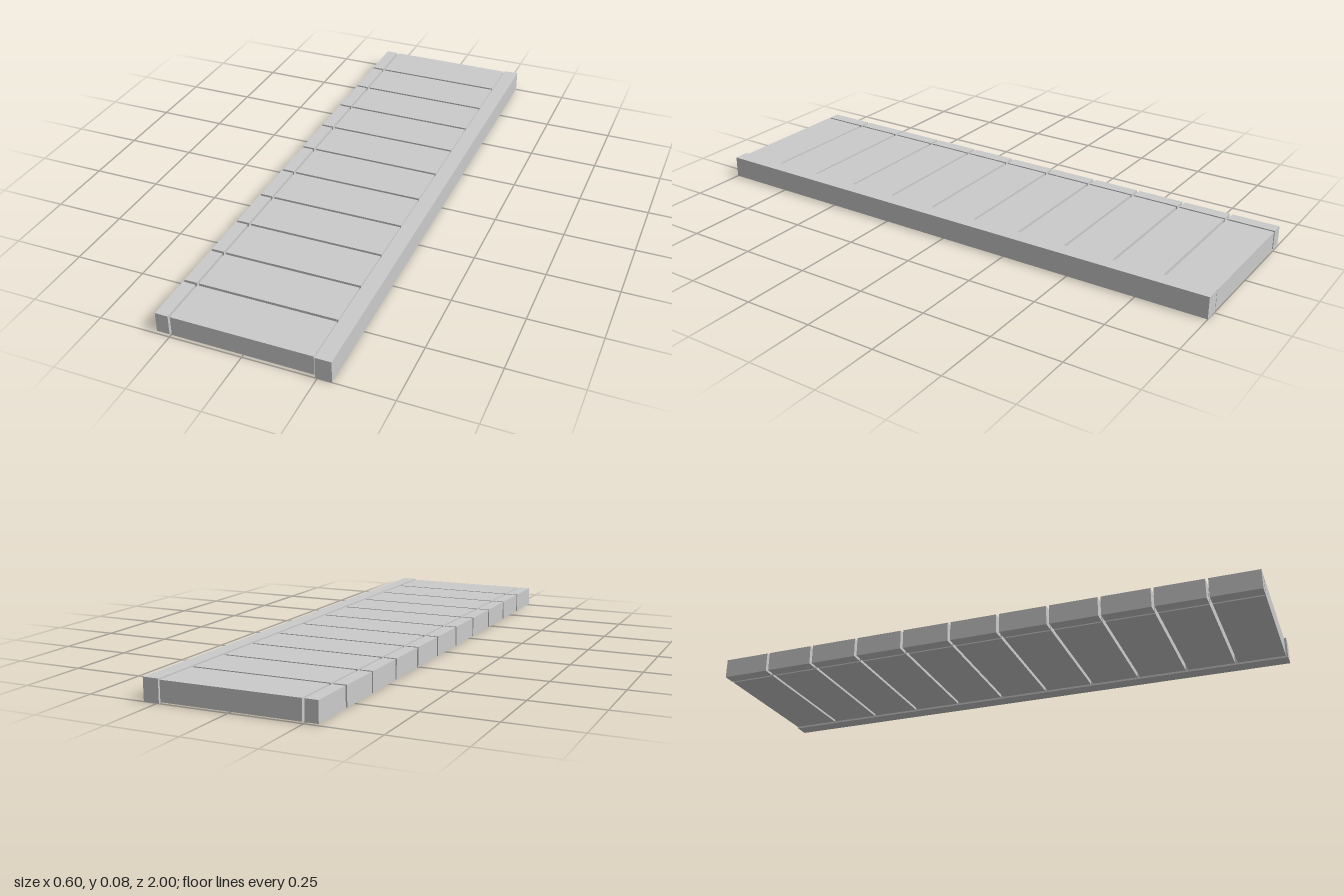
import * as THREE from 'three';

const ROWS = 11;
const PITCH = 0.182;
const GAP = 0.01;
const Z_CENTRE = -0.003;

export function createModel() {
  const group = new THREE.Group();
  group.name = 'pavement';
  const material = new THREE.MeshStandardMaterial({ color: 0xcccccc, flatShading: true });

  // Box given by its x and y limits, its length and its centre along z
  function block(name, x0, x1, y0, y1, length, z) {
    const mesh = new THREE.Mesh(new THREE.BoxGeometry(x1 - x0, y1 - y0, length), material);
    mesh.position.set((x0 + x1) / 2, (y0 + y1) / 2, z);
    mesh.name = name;
    group.add(mesh);
  }

  // One long kerb along the left side, slightly taller than the slabs
  block('kerb', 0.243, 0.298, 0, 0.078, 2, 0);

  // Rows of wide paving slabs, each with a narrow edging stone on the right
  for (let i = 0; i < ROWS; i++) {
    const z = Z_CENTRE + (i - (ROWS - 1) / 2) * PITCH;
    block(`pavingSlab${i + 1}`, -0.245, 0.238, 0.005, 0.075, PITCH - GAP, z);
    block(`edgingStone${i + 1}`, -0.298, -0.253, 0.005, 0.075, PITCH - GAP, z);
  }

  return group;
}
